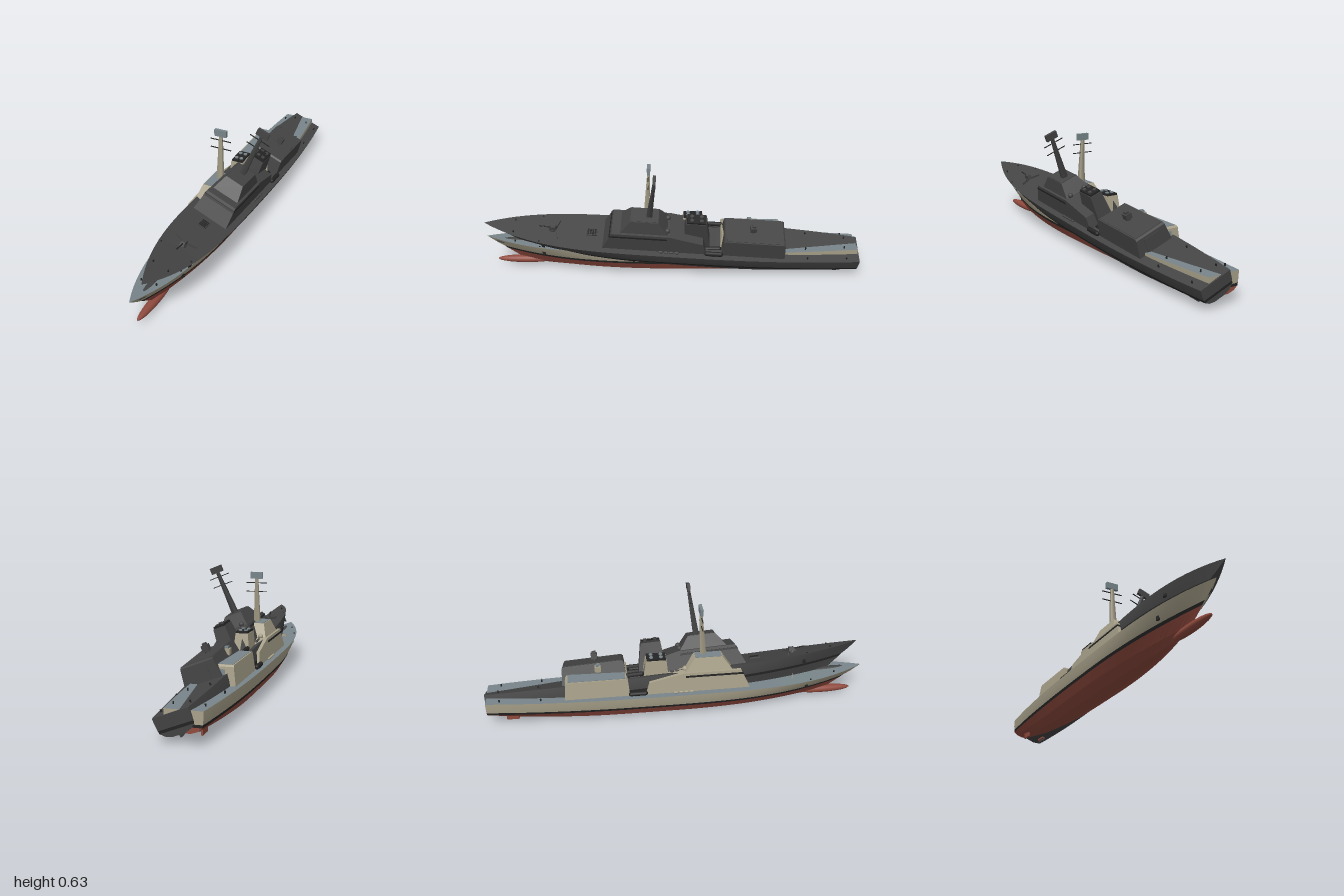
import * as THREE from 'three';
import { toCreasedNormals } from 'three/addons/utils/BufferGeometryUtils.js';

const mat = (name, color, side = THREE.FrontSide) => {
  const m = new THREE.MeshStandardMaterial({ color, side });
  m.name = name;
  return m;
};

// Hull levels, keel to deck edge: half width, height, bow z, bow y, stern half width, stern y, bow fullness
const LEVELS = [
  [0, 0, 0.74, 0.015, 0, 0.05, 2],
  [0.037, 0, 0.75, 0.02, 0.03, 0.05, 2],
  [0.094, 0.027, 0.82, 0.045, 0.06, 0.06, 2.2],
  [0.117, 0.07, 0.895, 0.098, 0.08, 0.077, 2.6],
  [0.121, 0.084, 0.912, 0.112, 0.082, 0.09, 2.7],
  [0.127, 0.108, 0.945, 0.132, 0.084, 0.112, 3.1],
  [0.13, 0.145, 1, 0.173, 0.085, 0.147, 3.9],
];

function hullPoint(level, s) {
  const [w, y, bowZ, bowY, sternW, sternY, full] = LEVELS[level];
  if (s >= 0) return [w * (1 - s ** full), y + (bowY - y) * s ** 3, s * bowZ];
  const lift = Math.max(0, (-s - 0.4) / 0.6) ** 1.5;
  return [w + (sternW - w) * (-s) ** 2.5, y + (sternY - y) * lift, s];
}

const STATIONS = Array.from({ length: 41 }, (_, i) => Math.sin(((i / 40) * 2 - 1) * Math.PI / 2));
const flipX = ([x, y, z]) => [-x, y, z];

function quadGeometry(build) {
  const pos = [];
  build((a, b, c, d) => pos.push(...a, ...b, ...c, ...a, ...c, ...d));
  const g = new THREE.BufferGeometry();
  g.setAttribute('position', new THREE.Float32BufferAttribute(pos, 3));
  return toCreasedNormals(g, 0.35);
}

// Hull plating between two levels, both sides and the transom
const strake = (from, to) => quadGeometry((quad) => {
  for (let l = from; l < to; l++) {
    for (let i = 0; i < 40; i++) {
      const a = hullPoint(l, STATIONS[i]), b = hullPoint(l, STATIONS[i + 1]);
      const c = hullPoint(l + 1, STATIONS[i + 1]), d = hullPoint(l + 1, STATIONS[i]);
      quad(a, d, c, b);
      quad(flipX(a), flipX(b), flipX(c), flipX(d));
    }
    const a = hullPoint(l, -1), d = hullPoint(l + 1, -1);
    quad(a, flipX(a), flipX(d), d);
  }
});

const deckGeometry = () => quadGeometry((quad) => {
  for (let i = 0; i < 40; i++) {
    const a = hullPoint(6, STATIONS[i]), b = hullPoint(6, STATIONS[i + 1]);
    quad(a, flipX(a), flipX(b), b);
  }
});

// Block from a side profile of [z, y], its half width narrowing from base to top
function prism(profile, base, top) {
  const g = new THREE.ExtrudeGeometry(new THREE.Shape(profile.map(([z, y]) => new THREE.Vector2(z, y))),
    { depth: 2, bevelEnabled: false });
  g.translate(0, 0, -1).rotateY(-Math.PI / 2);
  const ys = profile.map((p) => p[1]), y0 = Math.min(...ys), y1 = Math.max(...ys);
  const p = g.attributes.position;
  for (let i = 0; i < p.count; i++) {
    p.setX(i, p.getX(i) * THREE.MathUtils.lerp(base, top, (p.getY(i) - y0) / (y1 - y0)));
  }
  g.computeVertexNormals();
  return g;
}

function buildShip(name, { paint, deck, bottom, black }) {
  const ship = new THREE.Group();
  ship.name = name;
  const add = (part, geometry, material, x = 0, y = 0, z = 0) => {
    const m = new THREE.Mesh(geometry, material);
    m.name = part;
    m.position.set(x, y, z);
    ship.add(m);
    return m;
  };
  const box = (part, material, w, h, d, x, y, z) => add(part, new THREE.BoxGeometry(w, h, d), material, x, y, z);

  // Hull
  add('lowerHull', strake(0, 3), bottom);
  add('waterlineStripe', strake(3, 4), black);
  add('upperHull', strake(4, 6), paint);
  add('deck', deckGeometry(), deck);
  add('bowBulb', new THREE.SphereGeometry(1, 20, 14), bottom, 0, 0.03, 0.8).scale.set(0.023, 0.021, 0.155);

  // Forward superstructure and bridge
  add('forwardHouse', prism([[0.37, 0.14], [0.32, 0.25], [0.02, 0.25], [-0.16, 0.21], [-0.18, 0.14]], 0.098, 0.084), paint);
  add('windowBand', prism([[0.334, 0.226], [0.329, 0.236], [0.03, 0.236], [0.03, 0.226]], 0.0888, 0.0875), black);
  add('bridge', prism([[0.275, 0.25], [0.225, 0.317], [0.08, 0.317], [0.03, 0.25]], 0.072, 0.05), paint);
  box('bridgeRoof', deck, 0.092, 0.004, 0.137, 0, 0.317, 0.1525);

  // Mast, yards and radar
  const mast = add('mast', new THREE.CylinderGeometry(0.0105, 0.021, 0.24, 4, 1).rotateY(Math.PI / 4), paint, 0, 0.434, 0.122);
  mast.rotation.x = -0.06;
  for (const y of [0.483, 0.53]) box('yard', black, 0.114, 0.004, 0.004, 0, y, 0.117);
  box('radar', deck, 0.066, 0.035, 0.016, 0, 0.57, 0.115);

  // Funnel
  add('funnel', prism([[-0.05, 0.14], [-0.065, 0.305], [-0.17, 0.305], [-0.2, 0.14]], 0.045, 0.033), paint);
  box('funnelCap', black, 0.06, 0.012, 0.1, 0, 0.309, -0.1175);
  for (const z of [-0.143, -0.092]) {
    for (const x of [-0.014, 0.014]) {
      add('exhaust', new THREE.CylinderGeometry(0.01, 0.01, 0.01, 12), deck, x, 0.315, z);
    }
  }

  // Hangar
  add('hangar', prism([[-0.262, 0.14], [-0.27, 0.232], [-0.278, 0.24], [-0.582, 0.24], [-0.59, 0.232], [-0.598, 0.14]], 0.097, 0.084), paint);
  box('hangarRoof', deck, 0.155, 0.004, 0.295, 0, 0.24, -0.43);
  box('hangarDoor', deck, 0.09, 0.07, 0.006, 0, 0.185, -0.594).rotation.x = 0.085;
  box('closeInMount', paint, 0.034, 0.03, 0.032, 0, 0.265, -0.42);
  add('closeInBase', new THREE.CylinderGeometry(0.013, 0.013, 0.014, 12), paint, 0, 0.246, -0.42);
  box('closeInDome', deck, 0.018, 0.012, 0.02, 0, 0.284, -0.42);

  // Foredeck gun, breakwater and launcher hatch
  add('gunBase', new THREE.CylinderGeometry(0.017, 0.019, 0.012, 14), paint, 0, 0.155, 0.64);
  add('gunHouse', prism([[0.658, 0.158], [0.648, 0.18], [0.622, 0.18], [0.618, 0.158]], 0.013, 0.01), paint);
  add('gunBarrel', new THREE.CylinderGeometry(0.0028, 0.0035, 0.06, 8).rotateX(Math.PI / 2 - 0.1), black, 0, 0.174, 0.68);
  box('launcherHatch', deck, 0.045, 0.012, 0.055, 0, 0.148, 0.43);
  for (let i = 0; i < 4; i++) box('hatchLid', black, 0.036, 0.004, 0.009, 0, 0.153, 0.411 + i * 0.0127);

  // Mirrored fittings
  for (const side of [-1, 1]) {
    box('breakwater', paint, 0.055, 0.014, 0.004, side * 0.033, 0.155, 0.613).rotation.y = side * 0.3;
    add('antennaDome', new THREE.SphereGeometry(0.014, 14, 10), paint, side * 0.045, 0.257, 0.03);
    for (let i = 0; i < 4; i++) {
      add('lifeRaft', new THREE.CapsuleGeometry(0.006, 0.012, 4, 10).rotateX(Math.PI / 2), paint,
        side * 0.107, 0.153, -0.025 + i * 0.028);
    }
    add('boat', new THREE.CapsuleGeometry(0.012, 0.075, 4, 10).rotateX(Math.PI / 2), black, side * 0.103, 0.159, -0.22);
    box('boatCradle', deck, 0.02, 0.012, 0.05, side * 0.1, 0.148, -0.22);
    const anchor = box('anchor', black, 0.008, 0.02, 0.016, side * 0.081, 0.112, 0.68);
    anchor.rotation.y = -side * 0.35;
    box('rudder', bottom, 0.008, 0.05, 0.065, side * 0.045, 0.039, -0.875);
    for (const [x, z] of [[0.04, 0.84], [0.085, 0.7], [0.085, -0.72], [0.07, -0.93]]) {
      add('bollard', new THREE.CylinderGeometry(0.004, 0.004, 0.012, 8), black, side * x, z > 0.8 ? 0.165 : 0.152, z);
    }
  }
  return ship;
}

export function createModel() {
  const black = mat('black', 0x242424);
  const dark = mat('dark grey', 0x444444);
  const model = new THREE.Group();
  model.name = 'pairOfShips';

  // Upright painted ship
  const painted = buildShip('paintedShip', {
    paint: mat('beige', 0xa8a18a), deck: mat('blue grey', 0x78858a), bottom: mat('red', 0x8f4a3e), black,
  });
  painted.position.x = -0.061;

  // Dark twin, heeled to its left with the bow raised
  const twin = buildShip('darkShip', { paint: dark, deck: dark, bottom: dark, black });
  twin.position.set(-0.061, 0.062, 0);
  twin.rotation.set(-0.067, 0, -0.384);

  model.add(painted, twin);
  return model;
}
